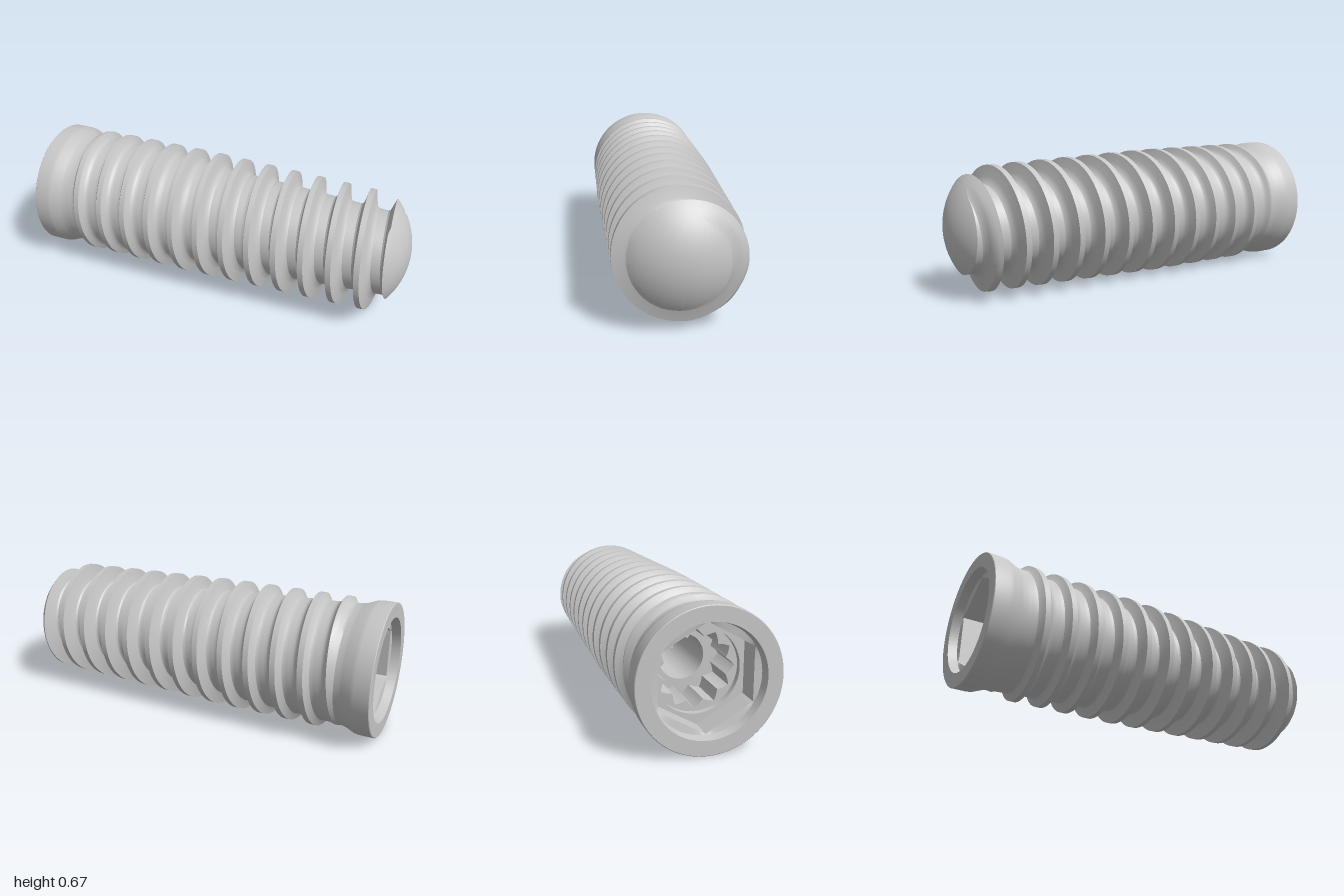
import * as THREE from 'three';
import { toCreasedNormals } from 'three/addons/utils/BufferGeometryUtils.js';

const AXIS_Y = 0.336, COLS = 120, PITCH = 0.1395;
const START = -0.82, FIRST_CREST = -0.77;

// Piecewise linear lookup in [x, value] pairs
function lookup(table, x) {
  if (x <= table[0][0]) return table[0][1];
  for (let i = 1; i < table.length; i++) {
    const [x0, v0] = table[i - 1], [x1, v1] = table[i];
    if (x <= x1) return v0 + (v1 - v0) * (x - x0) / (x1 - x0);
  }
  return table[table.length - 1][1];
}

// Tapered core, thread crest and thread section
const CORE = [[-0.82, 0.307], [-0.7, 0.3], [-0.35, 0.287], [-0.2, 0.274], [0, 0.258], [0.4, 0.24], [0.94, 0.208], [1, 0.205]];
const CREST = [[-0.82, 0.307], [-0.775, 0.336], [-0.15, 0.335], [0.8, 0.306], [1, 0.298]];
const SECTION = [[-0.045, 0], [-0.036, 0.07], [-0.027, 0.35], [-0.014, 1], [0, 1], [0.014, 1],
  [0.027, 0.4], [0.037, 0.1], [0.048, 0], [0.064, 0], [0.08, 0], [PITCH - 0.045, 0]];

// Radius of the spherical tip, wide open behind it
const DOME_R = 0.386;
const dome = x => x < 0.7 ? 1 : Math.sqrt(Math.max(0, DOME_R ** 2 - (DOME_R - 1 + x) ** 2));

// Radius of the threaded body at a point along the axis and an angle around it
function threadRadius(x, angle) {
  let d = x - FIRST_CREST - PITCH * angle / (2 * Math.PI) + 0.045;
  d = d - PITCH * Math.floor(d / PITCH) - 0.045;
  const core = lookup(CORE, x);
  return core + (lookup(CREST, x) - core) * lookup(SECTION, d);
}
const bodyRadius = (x, angle) => Math.min(threadRadius(x, angle), dome(x));

// Surface around the x axis: point(row, angle, column) gives [x, radius]
function polarGrid(rows, point, crease) {
  const grid = [], pos = [];
  for (let i = 0; i < rows; i++) {
    grid.push([]);
    for (let j = 0; j <= COLS; j++) {
      const a = 2 * Math.PI * j / COLS;
      const [x, r] = point(i, a, j);
      grid[i].push(new THREE.Vector3(x, AXIS_Y + r * Math.cos(a), r * Math.sin(a)));
    }
  }
  const tri = new THREE.Triangle();
  const add = (a, b, c) => {
    if (tri.set(a, b, c).getArea() > 1e-9) for (const p of [a, b, c]) pos.push(p.x, p.y, p.z);
  };
  for (let i = 0; i < rows - 1; i++) {
    for (let j = 0; j < COLS; j++) {
      const a = grid[i][j], b = grid[i][j + 1], c = grid[i + 1][j], d = grid[i + 1][j + 1];
      add(a, b, c);
      add(b, d, c);
    }
  }
  const g = new THREE.BufferGeometry();
  g.setAttribute('position', new THREE.Float32BufferAttribute(pos, 3));
  return toCreasedNormals(g, crease);
}

export function createModel() {
  const group = new THREE.Group();
  const metal = new THREE.MeshStandardMaterial({ color: 0xc6c6c6 });
  metal.name = 'grey metal';
  const part = (name, geometry) => {
    const mesh = new THREE.Mesh(geometry, metal);
    mesh.name = name;
    group.add(mesh);
  };

  // Where the rounded tip cuts off the thread in each column, eased around the run-out
  const crossing = [], cut = [];
  for (let j = 0; j < COLS; j++) {
    const a = 2 * Math.PI * j / COLS;
    let x = 0.99;
    while (threadRadius(x, a) >= dome(x)) x -= 0.0005;
    crossing.push(x);
  }
  for (let j = 0; j <= COLS; j++) {
    cut.push(Math.max(...crossing.map((x, k) => {
      const gap = Math.abs(j % COLS - k);
      return x - 0.002 * Math.min(gap, COLS - gap);
    })));
  }

  // Threaded body, its rows following the helix
  const steps = SECTION.length - 1, turns = 15;
  part('threadedBody', polarGrid(turns * steps, (i, a, j) => {
    const helix = FIRST_CREST + PITCH * (Math.floor(i / steps) - 2 + a / (2 * Math.PI));
    const x = Math.min(cut[j], Math.max(START, helix + SECTION[i % steps][0]));
    return [x, bodyRadius(x, a)];
  }, 0.55));

  // Rounded tip
  const tipRows = 14;
  part('roundedTip', polarGrid(tipRows, (i, a, j) => {
    const x = 1 - (1 - cut[j]) * (1 - i / (tipRows - 1)) ** 2;
    return [x, i === 0 ? bodyRadius(x, a) : dome(x)];
  }, 0.55));

  // Collar with its flared neck
  const collar = [[-1, 0.263], [-1, 0.333], [-0.997, 0.336], [-0.925, 0.336], [-0.905, 0.333],
    [-0.86, 0.314], [-0.845, 0.31], [START, 0.307]];
  part('collar', polarGrid(collar.length, i => collar[i], 0.5));

  // Socket: round bore, toothed ring, hexagon, bevelled mouth
  const hexagon = a => 0.219 / Math.cos(a % (Math.PI / 3) - Math.PI / 6);
  const toothed = a => 0.15 + 0.035 * Math.abs(((a * 12 / (2 * Math.PI)) % 1) * 2 - 1);
  const round = r => () => r;
  const socket = [[-0.2, round(0)], [-0.2, round(0.11)], [-0.62, round(0.11)], [-0.62, toothed],
    [-0.81, toothed], [-0.81, round(0.2)], [-0.84, round(0.2)], [-0.84, hexagon],
    [-0.95, hexagon], [-0.955, round(0.255)], [-1, round(0.263)]];
  part('driveSocket', polarGrid(socket.length, (i, a) => [socket[i][0], socket[i][1](a)], 0.4));

  return group;
}
